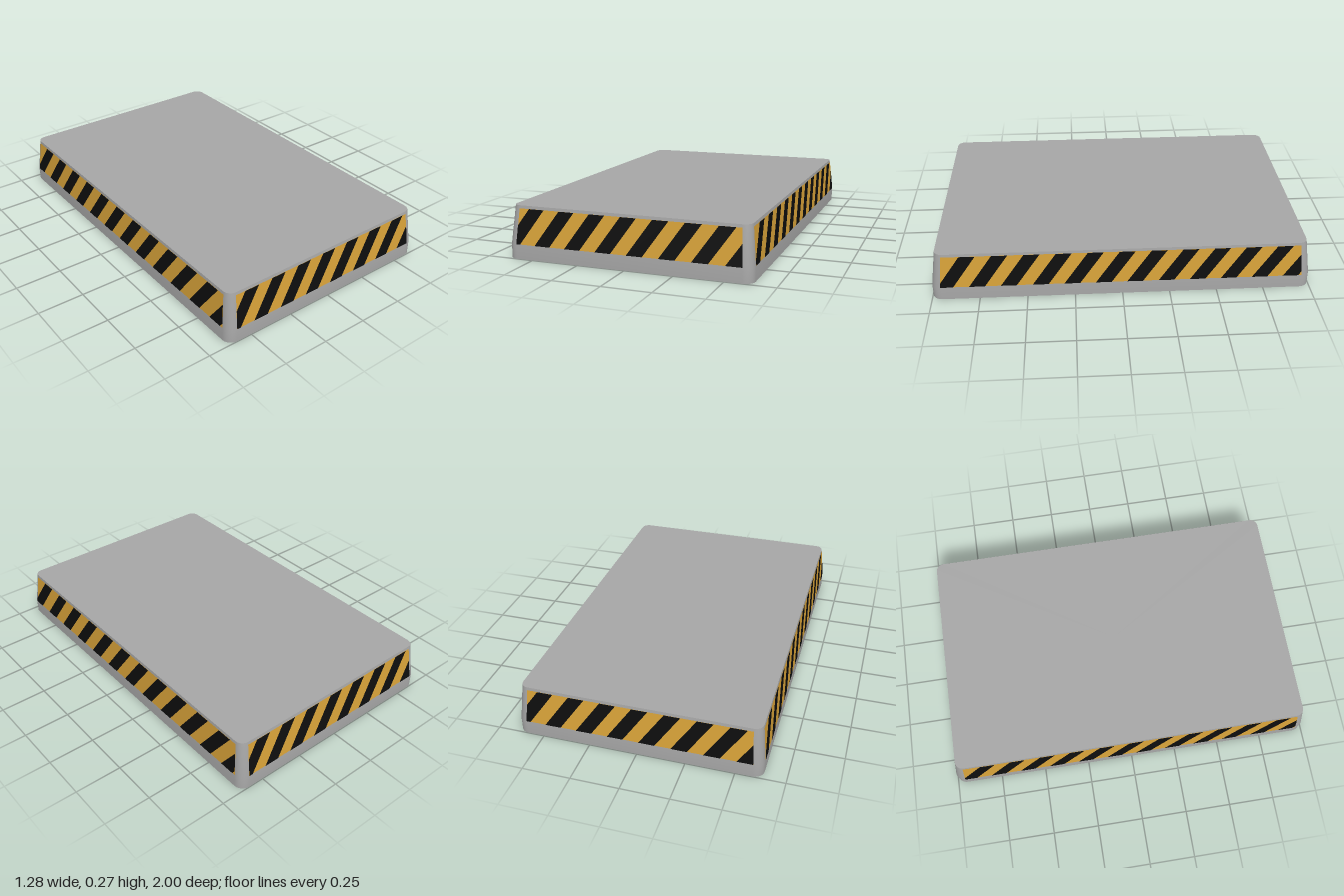
import * as THREE from 'three';
import { mergeGeometries, toCreasedNormals } from 'three/addons/utils/BufferGeometryUtils.js';

const grey = new THREE.MeshStandardMaterial({ name: 'grey', color: 0xa6a6a6 });
const yellow = new THREE.MeshStandardMaterial({ name: 'safety yellow', color: 0xd5a038 });
const black = new THREE.MeshStandardMaterial({ name: 'black', color: 0x0d0d0d });

// Heights: top of the plinth, top of the body, and the striped band
const KNEE = 0.07, TOP = 0.27, BAND_LOW = 0.076, BAND_HIGH = 0.255;
const BASE = { x: 0.637, z: 0.998 }, UPPER = { x: 0.618, z: 0.968 };
const PERIOD = 0.165, SLANT = 0.126;

// Rounded rectangle ring at height y
function ring(half, radius, y, steps = 6) {
  const points = [];
  for (let c = 0; c < 4; c++) {
    const sx = c === 0 || c === 3 ? 1 : -1, sz = c < 2 ? 1 : -1;
    for (let i = 0; i <= steps; i++) {
      const a = (c + i / steps) * Math.PI / 2;
      points.push([
        sx * (half.x - radius) + radius * Math.cos(a), y,
        sz * (half.z - radius) + radius * Math.sin(a),
      ]);
    }
  }
  return points;
}

// Block with upright foot, tapering walls and flat caps
function bodyGeometry() {
  const rings = [ring(BASE, 0.05, 0), ring(BASE, 0.05, KNEE), ring(UPPER, 0.042, TOP)];
  const n = rings[0].length, positions = [];
  const tri = (a, b, c) => positions.push(...a, ...b, ...c);
  for (let i = 0; i < n; i++) {
    const j = (i + 1) % n;
    for (let r = 0; r < 2; r++) {
      tri(rings[r][i], rings[r + 1][i], rings[r][j]);
      tri(rings[r][j], rings[r + 1][i], rings[r + 1][j]);
    }
    tri([0, 0, 0], rings[0][i], rings[0][j]);
    tri([0, TOP, 0], rings[2][j], rings[2][i]);
  }
  const geometry = new THREE.BufferGeometry();
  geometry.setAttribute('position', new THREE.Float32BufferAttribute(positions, 3));
  return toCreasedNormals(geometry, 0.6);
}

// Keep the part of a convex polygon where inside(point) >= 0
function clip(points, inside) {
  const result = [];
  points.forEach((p, i) => {
    const q = points[(i + 1) % points.length], dp = inside(p), dq = inside(q);
    if (dp >= 0) result.push(p);
    if (dp * dq < 0) result.push(p.clone().lerp(q, dp / (dp - dq)));
  });
  return result;
}

// Lay a flat polygon on a wall that leans inwards
function onWall(points, low, high, offset) {
  const geometry = new THREE.ShapeGeometry(new THREE.Shape(points));
  const p = geometry.attributes.position;
  for (let i = 0; i < p.count; i++) {
    const t = (p.getY(i) - KNEE) / (TOP - KNEE);
    p.setZ(i, THREE.MathUtils.lerp(low, high, t) + offset);
  }
  geometry.computeVertexNormals();
  return geometry;
}

// Yellow band with slanted black stripes for one wall
function stripedPanel(name, angle, low, high, halfLow, halfHigh, firstStripe) {
  const group = new THREE.Group();
  group.name = name;
  group.rotation.y = angle;
  const v = (x, y) => new THREE.Vector2(x, y);
  const halfAt = (y) => THREE.MathUtils.mapLinear(y, BAND_LOW, BAND_HIGH, halfLow, halfHigh);
  const band = [v(-halfLow, BAND_LOW), v(halfLow, BAND_LOW), v(halfHigh, BAND_HIGH), v(-halfHigh, BAND_HIGH)];
  const stripes = [];
  for (let u = firstStripe; u - SLANT < halfLow; u += PERIOD) {
    const w = PERIOD / 2;
    let points = [v(u - SLANT, BAND_LOW), v(u - SLANT + w, BAND_LOW), v(u + w, BAND_HIGH), v(u, BAND_HIGH)];
    points = clip(points, (p) => halfAt(p.y) - p.x);
    points = clip(points, (p) => halfAt(p.y) + p.x);
    if (points.length > 2) stripes.push(onWall(points, low, high, 0.0025));
  }
  const bandMesh = new THREE.Mesh(onWall(band, low, high, 0.001), yellow);
  bandMesh.name = 'yellowBand';
  const stripeMesh = new THREE.Mesh(mergeGeometries(stripes), black);
  stripeMesh.name = 'blackStripes';
  group.add(bandMesh, stripeMesh);
  return group;
}

export function createModel() {
  const model = new THREE.Group();
  model.name = 'stripedPlatform';
  const body = new THREE.Mesh(bodyGeometry(), grey);
  body.name = 'body';
  model.add(body);
  // Opposite walls repeat by a half turn
  for (const [end, side, turn] of [['front', 'left', 0], ['back', 'right', Math.PI]]) {
    model.add(stripedPanel(end + 'Panel', turn, BASE.z, UPPER.z, 0.588, 0.577, -0.523));
    model.add(stripedPanel(side + 'Panel', turn + Math.PI / 2, BASE.x, UPPER.x, 0.95, 0.932, -0.84));
  }
  return model;
}
